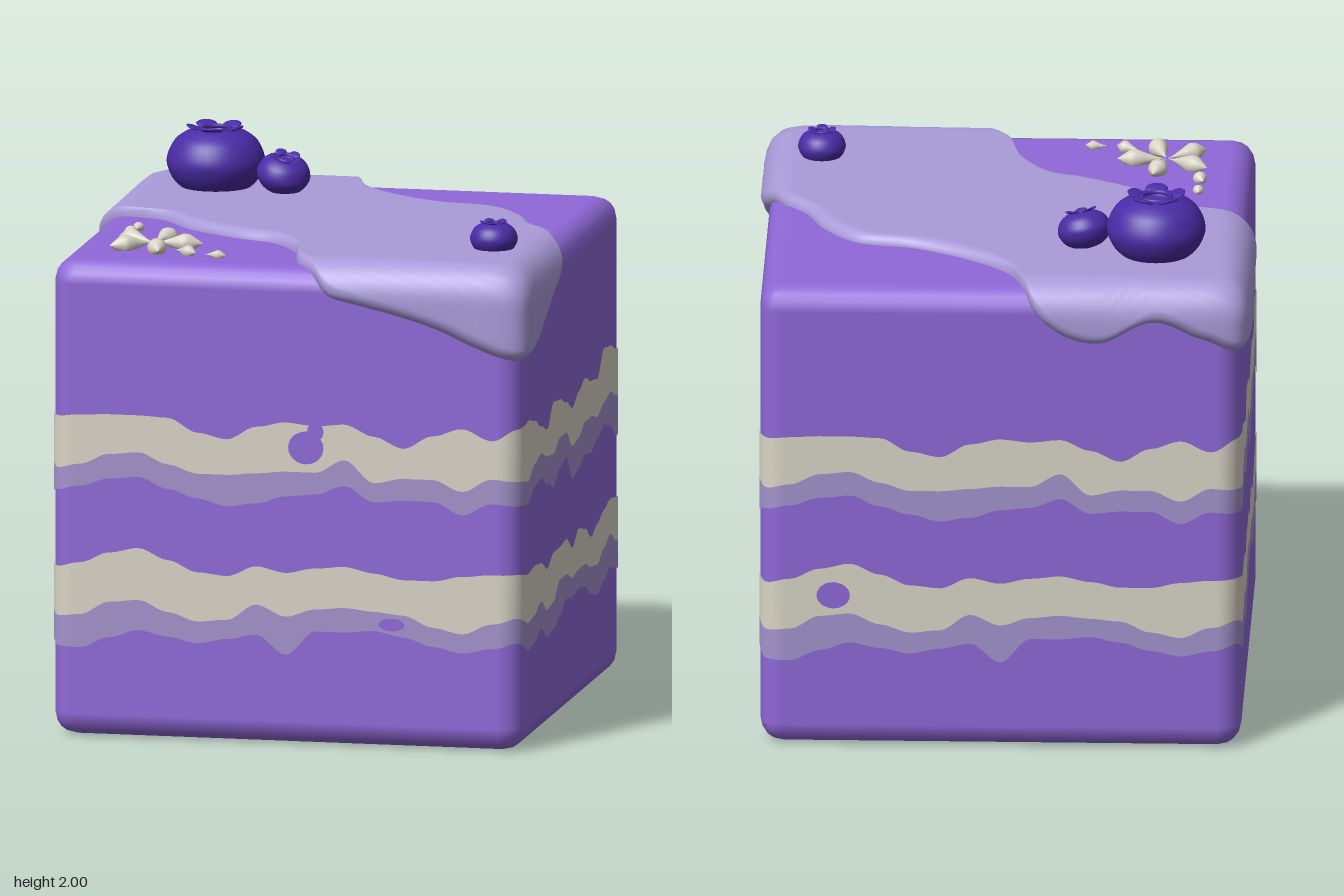
import * as THREE from 'three';
import { RoundedBoxGeometry } from 'three/addons/geometries/RoundedBoxGeometry.js';

const H = 0.865, TOP = 1.74, CORNER = 0.085, BEND = 0.09, THICK = 0.036;
const mat = (name, color) => new THREE.MeshStandardMaterial({ name, color });

function mesh(name, geometry, material, x = 0, y = 0, z = 0) {
  const m = new THREE.Mesh(geometry, material);
  m.name = name;
  m.position.set(x, y, z);
  return m;
}

function surface(positions, index) {
  const g = new THREE.BufferGeometry();
  g.setAttribute('position', new THREE.Float32BufferAttribute(positions, 3));
  g.setIndex(index);
  g.computeVertexNormals();
  return g;
}

// Wavy filling edges: heights along two neighbouring faces, repeated on the other two
const creamTop1 = [1.17, 1.18, 1.185, 1.185, 1.18, 1.13, 1.11, 1.16, 1.18, 1.17, 1.18, 1.14, 1.1, 1.15, 1.18, 1.14,
  1.18, 1.2, 1.18, 1.14, 1.11, 1.19, 1.18, 1.15, 1.11, 1.15, 1.18, 1.15, 1.14, 1.23, 1.22, 1.19];
const creamLow1 = [0.98, 1, 1.04, 1.05, 1.01, 0.98, 0.98, 0.99, 1, 1, 1.05, 0.97, 0.99, 0.99, 0.95, 1,
  0.99, 0.98, 1.02, 1.04, 1.01, 1, 1.04, 1.04, 0.97, 0.98, 1.02, 1.02, 1, 1.03, 1.05, 1.02];
const lilacLow1 = [0.9, 0.92, 0.95, 0.96, 0.92, 0.89, 0.865, 0.88, 0.91, 0.92, 0.955, 0.9, 0.91, 0.91, 0.865, 0.91,
  0.9, 0.9, 0.94, 0.95, 0.91, 0.88, 0.93, 0.95, 0.85, 0.87, 0.9, 0.89, 0.92, 0.95, 0.93, 0.87];
const creamTop2 = [0.62, 0.64, 0.68, 0.7, 0.66, 0.62, 0.61, 0.65, 0.63, 0.65, 0.66, 0.64, 0.62, 0.62, 0.64, 0.65,
  0.65, 0.64, 0.65, 0.64, 0.6, 0.64, 0.64, 0.65, 0.6, 0.65, 0.63, 0.58, 0.61, 0.64, 0.66, 0.65];
const creamLow2 = [0.44, 0.45, 0.5, 0.51, 0.47, 0.44, 0.45, 0.51, 0.47, 0.5, 0.51, 0.5, 0.49, 0.45, 0.43, 0.47,
  0.49, 0.46, 0.47, 0.5, 0.45, 0.46, 0.52, 0.52, 0.49, 0.5, 0.5, 0.47, 0.46, 0.5, 0.53, 0.49];
const lilacLow2 = [0.33, 0.33, 0.37, 0.4, 0.38, 0.36, 0.38, 0.4, 0.33, 0.42, 0.42, 0.43, 0.41, 0.38, 0.36, 0.38,
  0.4, 0.36, 0.37, 0.4, 0.35, 0.36, 0.39, 0.43, 0.42, 0.43, 0.42, 0.37, 0.35, 0.38, 0.41, 0.39];

function wave(heights, t) {
  const i = Math.floor(t), f = t - i, n = heights.length;
  return THREE.MathUtils.lerp(heights[i % n], heights[(i + 1) % n], f * f * (3 - 2 * f));
}

// A thin band wrapped around the four sides
function wrapBand(low, high) {
  const perFace = 96, total = perFace * 4, pos = [], index = [];
  const core = H - CORNER, r = CORNER + 0.004;
  for (let i = 0; i < total; i++) {
    const u = ((i % perFace) / perFace * 2 - 1) * H;
    const over = Math.max(0, Math.abs(u) - core) / CORNER * Math.PI / 4;
    const p = new THREE.Vector3(
      over > 0 ? Math.sign(u) * (core + r * Math.sin(over)) : u, 0, core + r * Math.cos(over));
    p.applyAxisAngle(new THREE.Vector3(0, 1, 0), Math.floor(i / perFace) * Math.PI / 2);
    const t = i / perFace * 16;
    pos.push(p.x, wave(low, t), p.z, p.x, wave(high, t), p.z);
    const a = i * 2, b = ((i + 1) % total) * 2;
    index.push(a, b, b + 1, a, b + 1, a + 1);
  }
  return surface(pos, index);
}

// Distance from the centre to the side of the rounded square, by angle
function reach(angle) {
  const p = 20;
  return H / Math.pow(Math.abs(Math.cos(angle)) ** p + Math.abs(Math.sin(angle)) ** p, 1 / p);
}

// Point on the draped icing: s runs out over the top and down the side, h is the thickness
function drape(angle, s, h) {
  const R = reach(angle), a = s - (R - BEND), out = h * R / H, quarter = BEND * Math.PI / 2;
  let r = s, y = TOP + h;
  if (a > quarter) {
    r = R + out;
    y = TOP - BEND - (a - quarter);
  } else if (a > 0) {
    r = R - BEND + (BEND + out) * Math.sin(a / BEND);
    y = TOP - BEND + (BEND + h) * Math.cos(a / BEND);
  }
  return [r * Math.cos(angle), y, r * Math.sin(angle)];
}

// Icing outline as [x, z] on the top, or [x, z, y] where it hangs down a side
const icingEdge = [
  [H, 0.25, 1.66], [H, 0.4, 1.6], [H, 0.55, 1.53], [H, 0.7, 1.46], [H, 0.8, 1.435], [H, H, 1.43],
  [0.8, H, 1.44], [0.7, H, 1.475], [0.55, H, 1.54], [0.4, H, 1.585], [0.25, H, 1.62], [0.15, H, 1.65],
  [0.09, 0.84], [0.02, 0.75], [-0.035, 0.54], [-0.15, 0.375], [-0.29, 0.31], [-0.51, 0.16], [-0.61, 0.03],
  [-0.67, -0.01], [-0.77, -0.035], [-0.83, -0.06],
  [-H, -0.13, 1.63], [-H, -0.32, 1.6], [-H, -0.48, 1.5], [-H, -0.65, 1.53], [-H, -H, 1.52],
  [-0.72, -H, 1.57], [-0.53, -H, 1.63], [-0.36, -H, 1.55], [-0.22, -H, 1.58], [-0.12, -H, 1.67],
  [-0.085, -0.82], [-0.025, -0.67], [0.1, -0.54], [0.32, -0.405], [0.53, -0.35], [0.66, -0.195],
  [0.72, -0.05], [0.805, 0.06], [0.85, 0.16],
];

function icingGeometry() {
  const flat = icingEdge.map(([x, z, y]) => {
    const angle = Math.atan2(z, x);
    const s = y === undefined ? Math.hypot(x, z) : reach(angle) + TOP - y - BEND * (2 - Math.PI / 2);
    return new THREE.Vector3(s * Math.cos(angle), 0, s * Math.sin(angle));
  });
  const around = 260, steps = 44, lip = 7, row = steps + lip, pos = [], index = [];
  const curve = new THREE.CatmullRomCurve3(flat, true, 'centripetal');
  for (let i = 0; i < around; i++) {
    const p = curve.getPointAt(i / around), angle = Math.atan2(p.z, p.x), L = Math.hypot(p.x, p.z);
    const round = 0.045;
    for (let j = 0; j < row; j++) {
      const turn = Math.max(0, j - steps + 1) / lip * Math.PI / 2;
      const s = j < steps ? (L - round) * j / (steps - 1) : L - round + round * Math.sin(turn);
      pos.push(...drape(angle, s, (THICK + 0.005) * Math.cos(turn) - 0.005));
    }
    const a = i * row, b = ((i + 1) % around) * row;
    for (let j = 0; j < row - 1; j++) {
      index.push(a + j, b + j + 1, a + j + 1);
      if (j > 0) index.push(a + j, b + j, b + j + 1);
    }
  }
  return surface(pos, index);
}

// Berry with a dimple and a five-lobed crown
function berry(material, x, y, z, size, tiltX, tiltZ) {
  const g = new THREE.Group();
  g.name = 'berry';
  const profile = [[0, -0.72], [0.5, -0.62], [0.82, -0.4], [0.98, -0.1], [0.98, 0.14], [0.84, 0.43],
    [0.62, 0.6], [0.42, 0.68], [0.33, 0.66], [0.28, 0.58], [0, 0.56]].map(([r, h]) => new THREE.Vector2(r, h));
  const smooth = new THREE.SplineCurve(profile).getPoints(36).map(p => p.set(Math.max(0, p.x), p.y));
  g.add(mesh('berryBody', new THREE.LatheGeometry(smooth, 36), material));
  for (let i = 0; i < 5; i++) {
    const a = i / 5 * Math.PI * 2 + 0.3;
    const lobe = mesh('crownLobe', new THREE.SphereGeometry(1, 14, 8), material,
      Math.cos(a) * 0.44, 0.7, Math.sin(a) * 0.44);
    lobe.scale.set(0.17, 0.04, 0.23);
    lobe.rotation.set(0, -a, 0.35);
    g.add(lobe);
  }
  const ring = mesh('crownRing', new THREE.TorusGeometry(0.3, 0.045, 8, 24), material, 0, 0.67, 0);
  ring.rotation.x = Math.PI / 2;
  g.add(ring);
  g.position.set(x, y, z);
  g.rotation.set(tiltX, 0, tiltZ);
  g.scale.setScalar(size);
  return g;
}

// Pointed petal lying on the top, centred at x, z
const petalShape = new THREE.LatheGeometry([[0, -0.5], [0.2, -0.32], [0.62, -0.08], [0.95, 0.1], [0.88, 0.22],
  [0.4, 0.38], [0, 0.5]].map(([r, h]) => new THREE.Vector2(r, h)), 16).rotateZ(-Math.PI / 2);

function petal(material, x, z, length, radius, degrees) {
  const m = mesh('petal', petalShape, material, x, TOP + radius * 0.5, z);
  m.scale.set(length, radius, radius);
  m.rotation.y = -THREE.MathUtils.degToRad(degrees);
  return m;
}

export function createModel() {
  const cake = mat('cake purple', 0x8f68d8), cream = mat('cream', 0xd8d4c6), lilac = mat('lilac filling', 0xa293cc);
  const icing = mat('icing lilac', 0xaa9cda), blue = mat('berry indigo', 0x4a2ba6);
  const model = new THREE.Group();
  model.name = 'cakeCube';

  // Sponge block and its two layered fillings
  model.add(mesh('sponge', new RoundedBoxGeometry(H * 2, TOP, H * 2, 2, CORNER), cake, 0, TOP / 2, 0));
  model.add(mesh('upperCream', wrapBand(creamLow1, creamTop1), cream));
  model.add(mesh('upperFilling', wrapBand(lilacLow1, creamLow1), lilac));
  model.add(mesh('lowerCream', wrapBand(creamLow2, creamTop2), cream));
  model.add(mesh('lowerFilling', wrapBand(lilacLow2, creamLow2), lilac));

  // Sponge-coloured crumbs over the fillings: x, y, half width, half height, side
  for (const [x, y, w, h, side] of [[0.075, 1.09, 0.065, 0.06, 1], [0.11, 1.15, 0.03, 0.035, 1],
    [0.39, 0.455, 0.048, 0.023, 1], [0.6, 0.58, 0.06, 0.05, -1]]) {
    const crumb = mesh('crumb', new THREE.CircleGeometry(1, 24), cake, x, y, side * (H + 0.007));
    crumb.scale.set(w, h, 1);
    if (side < 0) crumb.rotation.y = Math.PI;
    model.add(crumb);
  }

  model.add(mesh('icing', icingGeometry(), icing));

  model.add(berry(blue, -0.55, 1.865, -0.51, 0.178, 0, 0));
  model.add(berry(blue, -0.29, 1.838, -0.455, 0.097, 0.25, -0.2));
  model.add(berry(blue, 0.685, 1.81, 0.49, 0.086, 0, 0));

  // Flower and loose petals
  const flower = new THREE.Group();
  flower.name = 'flower';
  for (const deg of [-3, -76, -147, 143, 73]) {
    const a = THREE.MathUtils.degToRad(deg);
    flower.add(petal(cream, -0.553 + Math.cos(a) * 0.092, 0.54 + Math.sin(a) * 0.092, 0.172, 0.037, deg));
  }
  for (const [x, z, length, radius, deg] of [[-0.677, 0.235, 0.075, 0.021, -90], [-0.675, 0.357, 0.095, 0.027, -110],
    [-0.41, 0.665, 0.095, 0.026, 30], [-0.295, 0.695, 0.08, 0.019, 5]]) {
    flower.add(petal(cream, x, z, length, radius, deg));
  }
  model.add(flower);
  return model;
}
